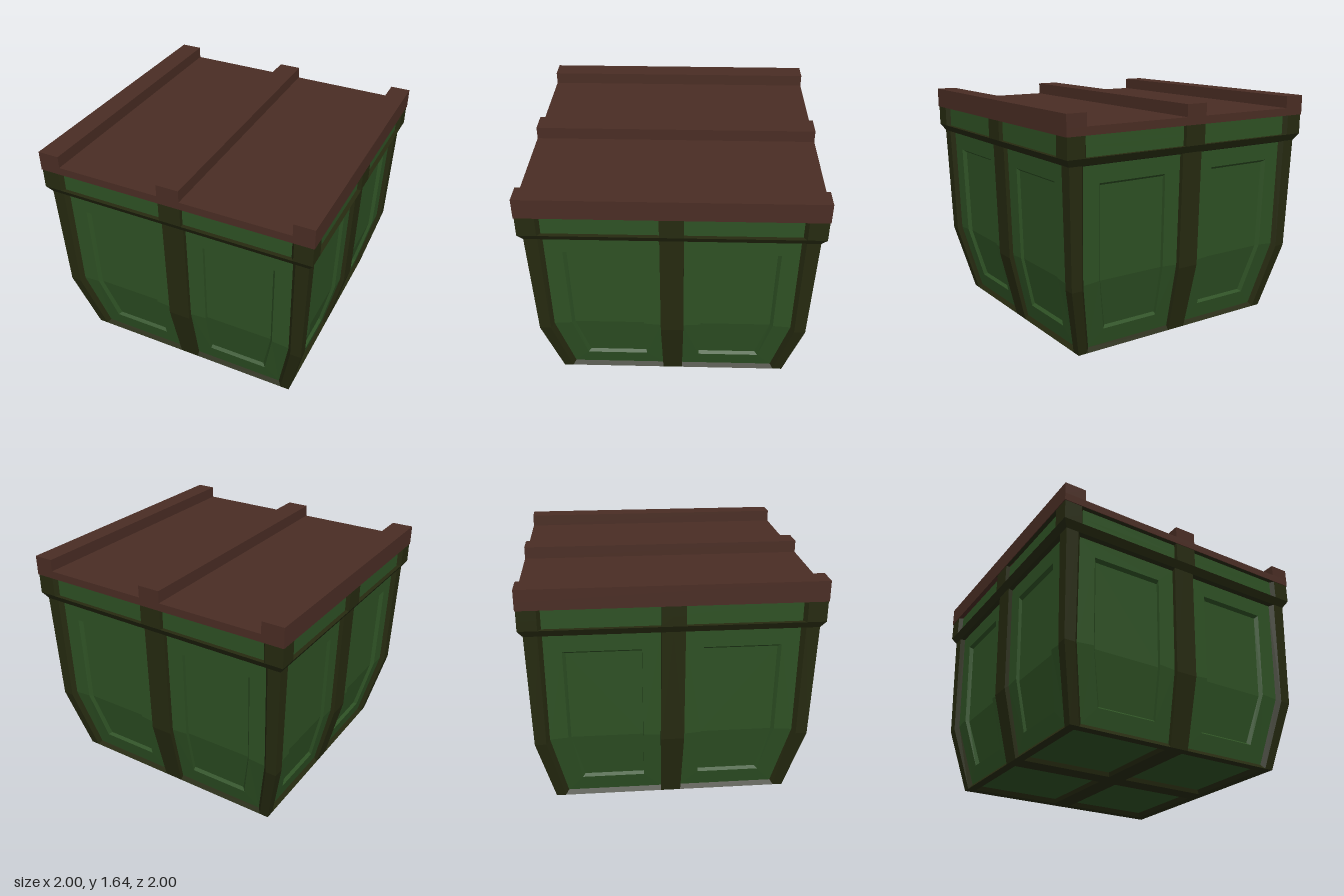
import * as THREE from 'three';

// half-width of the body at height y
const PROFILE = [[0, 0.825], [0.5, 0.943], [1.31, 0.963], [1.36, 0.995], [1.5, 0.995]];
function halfWidth(y) {
  for (let i = 1; i < PROFILE.length; i++) {
    const [y0, w0] = PROFILE[i - 1], [y1, w1] = PROFILE[i];
    if (y <= y1) return w0 + (w1 - w0) * (y - y0) / (y1 - y0);
  }
  return 0.995;
}

// collects flat quads, optionally mirrored in x
class Quads {
  constructor(mirror) { this.mirror = mirror; this.data = []; }
  quad(a, b, c, d) {
    for (const p of [a, b, c, a, c, d]) this.data.push(...p);
    if (this.mirror) for (const p of [c, b, a, d, c, a]) this.data.push(-p[0], p[1], p[2]);
  }
  ring(outer, inner) {
    const n = outer.length;
    for (let k = 0; k < n; k++) {
      const j = (k + 1) % n;
      this.quad(outer[k], outer[j], inner[j], inner[k]);
    }
  }
  mesh(name, material) {
    const g = new THREE.BufferGeometry();
    g.setAttribute('position', new THREE.Float32BufferAttribute(this.data, 3));
    g.computeVertexNormals();
    const m = new THREE.Mesh(g, material);
    m.name = name;
    return m;
  }
}

// six-point bay outline on the front wall; rows are [y, innerX, outerX] from bottom to top
function bay(rows, depth = 0) {
  const p = (x, y) => [x, y, halfWidth(y) - depth];
  const [b, m, t] = rows;
  return [p(b[1], b[0]), p(b[2], b[0]), p(m[2], m[0]), p(t[2], t[0]), p(t[1], t[0]), p(m[1], m[0])];
}
function fill(quads, l) {
  quads.quad(l[0], l[1], l[2], l[5]);
  quads.quad(l[5], l[2], l[3], l[4]);
}

export function createModel() {
  const green = new THREE.MeshStandardMaterial({ color: 0x2e5124 });
  green.name = 'panel green';
  const olive = new THREE.MeshStandardMaterial({ color: 0x262a10 });
  olive.name = 'frame olive';
  const brown = new THREE.MeshStandardMaterial({ color: 0x4a2d24 });
  brown.name = 'lid brown';

  const model = new THREE.Group();
  model.name = 'container';

  const frame = new Quads(true), panel = new Quads(true);
  const edge = (y) => [y, 0, halfWidth(y)];

  // lower bay: posts, reveal, green panel and its sunken field
  const lowOpening = bay([[0, 0.07, 0.76], [0.5, 0.08, 0.865], [1.31, 0.08, 0.872]]);
  const lowPanel = bay([[0.03, 0.07, 0.737], [0.52, 0.08, 0.84], [1.3, 0.08, 0.845]], 0.03);
  const fieldEdge = bay([[0.15, 0.193, 0.632], [0.53, 0.2, 0.715], [1.18, 0.203, 0.725]], 0.03);
  const field = bay([[0.167, 0.193, 0.612], [0.52, 0.2, 0.695], [1.162, 0.203, 0.703]], 0.055);
  frame.ring(bay([edge(0), edge(0.5), edge(1.31)]), lowOpening);
  frame.ring(lowOpening, lowPanel);
  panel.ring(lowPanel, fieldEdge);
  panel.ring(fieldEdge, field);
  fill(panel, field);

  // flared rim
  const at = (x, y) => [x, y, halfWidth(y)];
  frame.quad(at(0, 1.31), at(halfWidth(1.31), 1.31), at(halfWidth(1.36), 1.36), at(0, 1.36));

  // upper bay
  const topRows = (x) => [1.36, 1.43, 1.5].map((y) => [y, 0.08, x]);
  const topOpening = bay(topRows(0.867));
  const topPanel = bay(topRows(0.845), 0.03);
  frame.ring(bay([edge(1.36), edge(1.43), edge(1.5)]), topOpening);
  frame.ring(topOpening, topPanel);
  fill(panel, topPanel);

  // one quarter of the underside
  const floorFrame = new Quads(false), floorPanel = new Quads(false);
  const square = (a, b, y) => [[a, y, a], [b, y, a], [b, y, b], [a, y, b]];
  const floorOpening = square(0.07, 0.76, 0), floorField = square(0.08, 0.74, 0.03);
  floorFrame.ring(square(0, 0.825, 0), floorOpening);
  floorFrame.ring(floorOpening, floorField);
  floorPanel.quad(...floorField);

  const wall = new THREE.Group();
  wall.name = 'wall';
  wall.add(
    frame.mesh('wallFrame', olive), panel.mesh('wallPanels', green),
    floorFrame.mesh('floorFrame', olive), floorPanel.mesh('floorPanel', green),
  );
  for (let i = 0; i < 4; i++) {
    const w = wall.clone();
    w.name = ['frontWall', 'leftWall', 'backWall', 'rightWall'][i];
    w.rotation.y = i * Math.PI / 2;
    model.add(w);
  }

  // lid with three ribs running front to back
  const box = (name, x0, x1, y0, y1) => {
    const m = new THREE.Mesh(new THREE.BoxGeometry(x1 - x0, y1 - y0, 2), brown);
    m.position.set((x0 + x1) / 2, (y0 + y1) / 2, 0);
    m.name = name;
    model.add(m);
  };
  box('lid', -1, 1, 1.5, 1.555);
  box('rightRib', -1, -0.843, 1.555, 1.64);
  box('middleRib', -0.083, 0.08, 1.555, 1.64);
  box('leftRib', 0.857, 1, 1.555, 1.64);

  return model;
}
